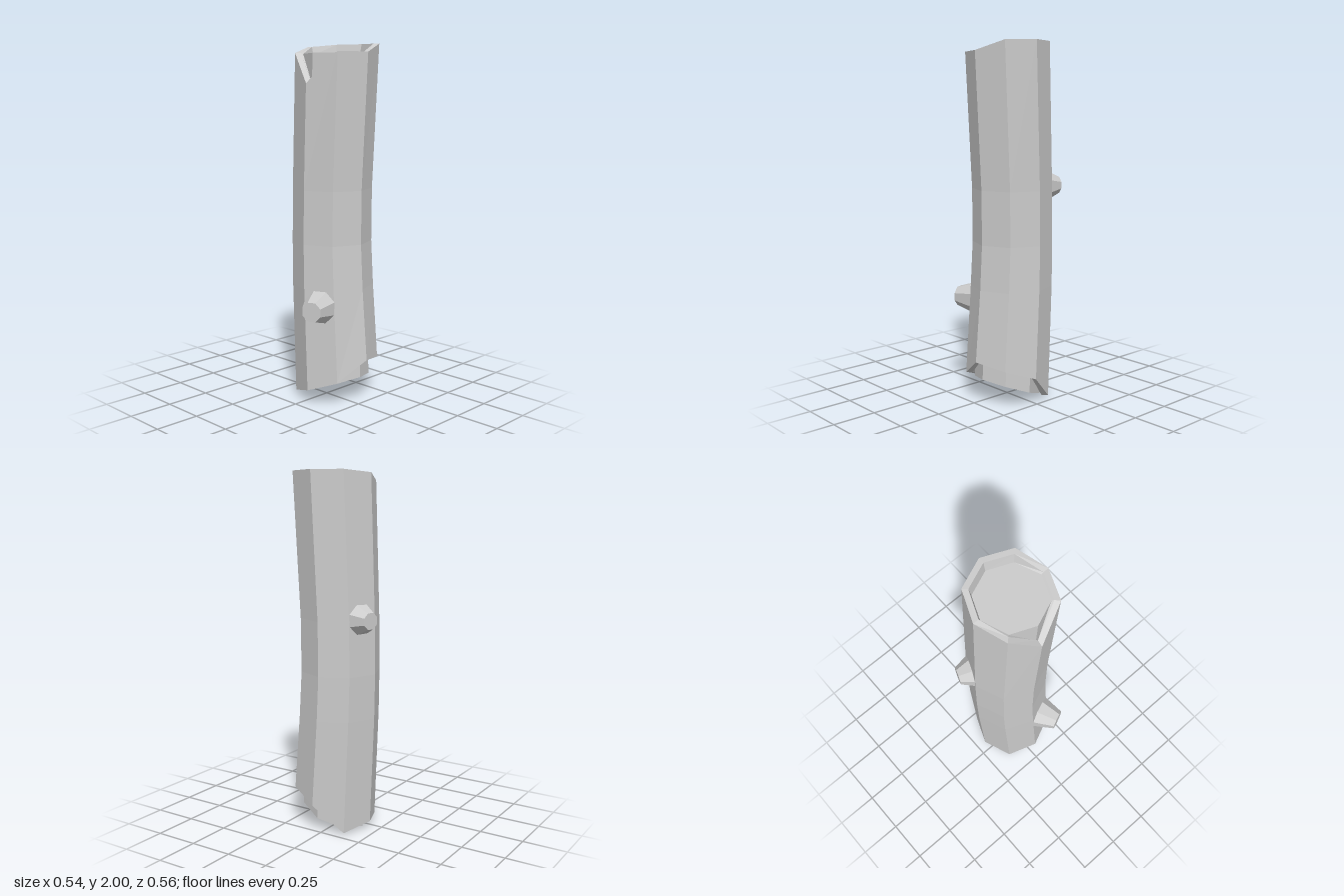
import * as THREE from 'three';

const SIDES = 8, AXIS_Z = -0.043;
const material = new THREE.MeshStandardMaterial({ color: 0xcccccc, flatShading: true });

// The trunk bows gently sideways: [height, centre x]
const BEND = [[0, 0.04], [0.25, 0.035], [0.65, 0.008], [0.9, -0.001], [1.2, 0.002], [1.94, 0.036], [2, 0.038]];
function bendX(y) {
  let i = 0;
  while (i < BEND.length - 2 && y > BEND[i + 1][0]) i++;
  const [y0, x0] = BEND[i], [y1, x1] = BEND[i + 1];
  return x0 + (x1 - x0) * THREE.MathUtils.clamp((y - y0) / (y1 - y0), 0, 1);
}

// Joins octagonal rings [radius, heights]; heights is one number or one per corner,
// with corners running from +x (left) round through +z (front)
function loft(name, rings) {
  const points = rings.map(([r, ys]) => Array.from({ length: SIDES }, (_, k) => {
    const y = Array.isArray(ys) ? ys[k] : ys, a = k * Math.PI * 2 / SIDES;
    return [bendX(y) + r * Math.cos(a), y, AXIS_Z + r * Math.sin(a)];
  }));
  const pos = [];
  for (let i = 0; i < rings.length - 1; i++) {
    for (let k = 0; k < SIDES; k++) {
      const n = (k + 1) % SIDES;
      const a = points[i][k], b = points[i][n], c = points[i + 1][k], d = points[i + 1][n];
      if (rings[i][0] > 0) pos.push(...a, ...c, ...b);
      if (rings[i + 1][0] > 0) pos.push(...b, ...c, ...d);
    }
  }
  const geometry = new THREE.BufferGeometry();
  geometry.setAttribute('position', new THREE.Float32BufferAttribute(pos, 3));
  geometry.computeVertexNormals();
  const mesh = new THREE.Mesh(geometry, material);
  mesh.name = name;
  return mesh;
}

// Tapered stump of a cut branch, from base centre to tip centre
function branchStub(name, base, tip, baseRadius, tipRadius) {
  const from = new THREE.Vector3(...base), to = new THREE.Vector3(...tip);
  const dir = to.clone().sub(from);
  const geometry = new THREE.CylinderGeometry(tipRadius, baseRadius, dir.length(), SIDES);
  geometry.rotateY(Math.PI / SIDES);
  geometry.rotateX(Math.PI / 2); // axis now along +z
  const mesh = new THREE.Mesh(geometry, material);
  mesh.name = name;
  mesh.rotation.y = Math.atan2(dir.x, dir.z);
  mesh.position.copy(from).add(to).multiplyScalar(0.5);
  return mesh;
}

export function createModel() {
  const log = new THREE.Group();
  log.name = 'log';

  // Bark: uneven broken rims at both ends, with a deep notch at the front of the top
  const topRim = [1.945, 1.945, 1.78, 1.945, 1.985, 2, 2, 1.995];
  const bottomRim = [0.25, 0.14, 0.075, 0.02, 0.04, 0.01, 0.16, 0.22];
  const woodTop = 1.94;
  log.add(loft('bark', [
    [0.186, bottomRim.map((y) => y + 0.02)],
    [0.2, bottomRim],
    [0.236, bottomRim],
    [0.229, 0.65],
    [0.224, 0.9],
    [0.223, 1.2],
    [0.23, topRim],
    [0.198, topRim.map((y) => y + (y < 1.9 ? 0.02 : 0))],
    [0.185, topRim.map((y) => Math.min(y, woodTop))],
  ]));

  // Wood core: slanted cut below, level cut above
  const slant = Array.from({ length: SIDES }, (_, k) => 0.07 + 0.07 * Math.cos(k * Math.PI * 2 / SIDES));
  log.add(loft('woodCore', [
    [0, 0.07],
    [0.186, slant],
    [0.186, 0.65],
    [0.186, 0.9],
    [0.186, 1.2],
    [0.186, woodTop],
    [0, woodTop],
  ]));

  // Branch stubs, each square to the bark face it grows from
  log.add(branchStub('frontBranchStub', [0.09, 0.558, 0.14], [0.142, 0.558, 0.262], 0.099, 0.057));
  log.add(branchStub('sideBranchStub', [-0.175, 1.21, -0.117], [-0.257, 1.21, -0.146], 0.092, 0.048));
  return log;
}
